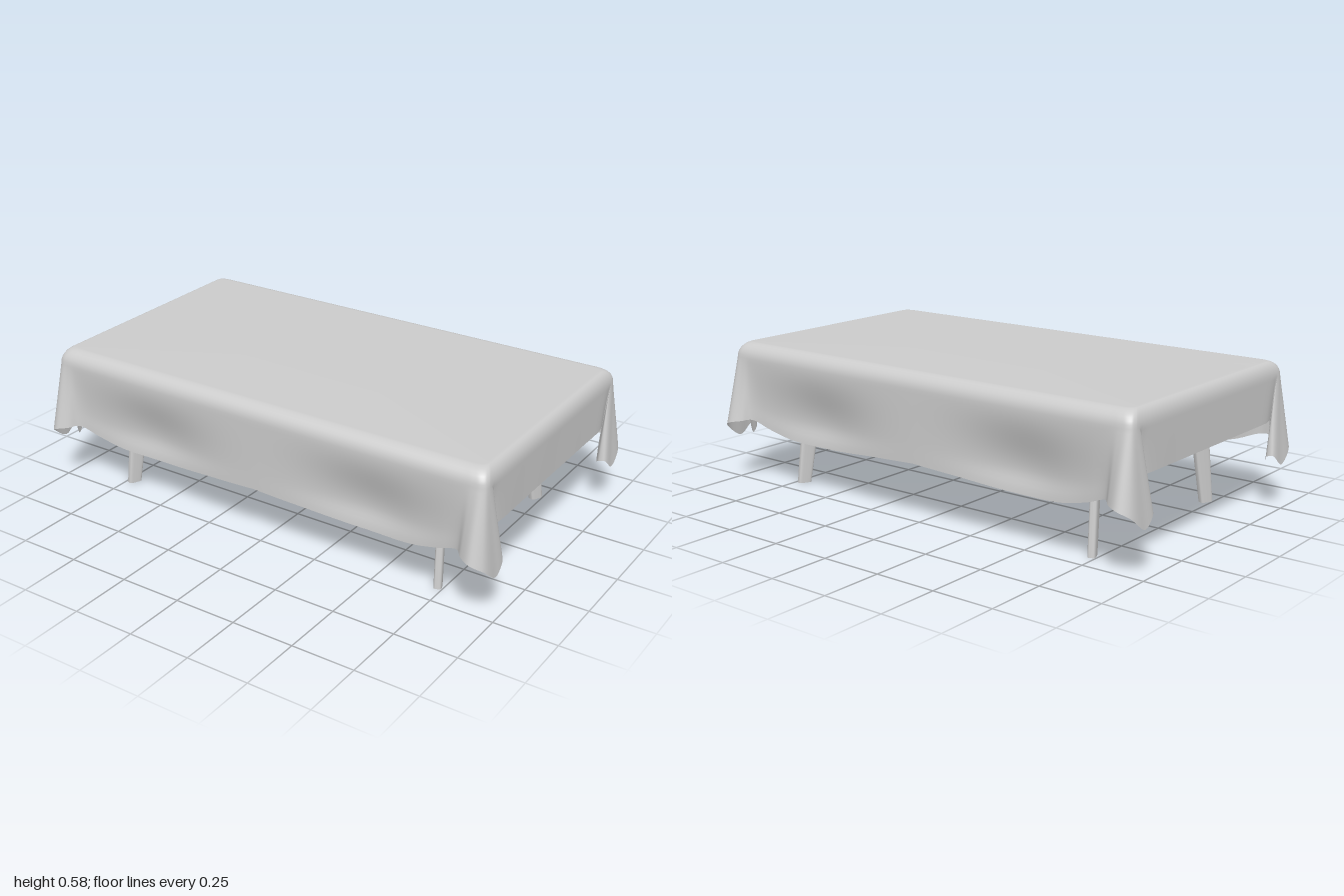
import * as THREE from 'three';

const material = new THREE.MeshStandardMaterial({ color: 0xcccccc, side: THREE.DoubleSide });
const { lerp, smoothstep } = THREE.MathUtils;
const curve = pts => new THREE.CatmullRomCurve3(pts.map(p => new THREE.Vector3(...p)));

// One quarter of the cloth, front centre round to side centre:
// the table edge it hangs from, and the hem with its folded corner ear.
const EDGE_Y = 0.525, TOP_Y = 0.585;
const edge = curve([
  [0, 0.537], [0.2, 0.537], [0.45, 0.537], [0.65, 0.537], [0.8, 0.537], [0.88, 0.537],
  [0.915, 0.537], [0.94, 0.534], [0.957, 0.524], [0.963, 0.51], [0.964, 0.5], [0.964, 0.492],
  [0.964, 0.484], [0.964, 0.475], [0.964, 0.465], [0.964, 0.43], [0.964, 0.25], [0.964, 0]
].map(([x, z]) => [x, EDGE_Y, z]));
const hem = curve([
  [0, 0.24, 0.535], [0.2, 0.228, 0.537], [0.45, 0.207, 0.542], [0.65, 0.212, 0.54], [0.78, 0.24, 0.535],
  [0.87, 0.272, 0.545], [0.9, 0.268, 0.575], [0.945, 0.26, 0.597], [0.988, 0.235, 0.57], [0.998, 0.18, 0.49],
  [0.99, 0.225, 0.433], [0.965, 0.22, 0.43], [0.94, 0.195, 0.475], [0.935, 0.27, 0.495], [0.95, 0.35, 0.47],
  [0.962, 0.354, 0.42], [0.963, 0.354, 0.25], [0.963, 0.354, 0]
]);

function quarterPoint(u, row, rounds, drops) {
  const p = edge.getPoint(u);
  if (row === 0) return new THREE.Vector3(0, TOP_Y, 0);
  if (row <= rounds) {
    // rounded shoulder between the flat top and the hanging cloth
    const a = (row - 1) / (rounds - 1) * Math.PI / 2, s = Math.sin(a);
    p.x *= 0.96 + 0.04 * s;
    p.z *= 0.89 + 0.11 * s;
    p.y = EDGE_Y + (TOP_Y - EDGE_Y) * Math.cos(a);
    return p;
  }
  const t = (row - rounds) / drops, h = hem.getPoint(u);
  // the inner flap of each ear fans out early, below its gathered neck
  const spread = t ** (1 - 0.35 * Math.exp(-(((u - 0.63) / 0.06) ** 2)));
  p.set(lerp(p.x, h.x, t), lerp(p.y, h.y, t), lerp(p.z, h.z, spread));
  // long sides sink inward in two broad hollows, easing out again at the hem
  if (u < 0.35) {
    const depth = 0.055 * smoothstep(t, 0, 0.75) - 0.015 * smoothstep(t, 0.75, 1);
    p.z -= depth * Math.exp(-(((p.x - 0.5) / 0.25) ** 2)) * (1 - smoothstep(u, 0.25, 0.35));
  }
  return p;
}

function clothGeometry() {
  const n = 108, rounds = 8, drops = 18, positions = [], index = [];
  const quarters = [[1, 1, false], [1, -1, true], [-1, -1, false], [-1, 1, true]];
  for (let row = 0; row <= rounds + drops; row++) {
    for (const [sx, sz, reverse] of quarters) {
      for (let i = 0; i < n; i++) {
        const p = quarterPoint((reverse ? n - i : i) / n, row, rounds, drops);
        positions.push(p.x * sx, p.y, p.z * sz);
      }
    }
  }
  const ring = 4 * n;
  for (let row = 0; row < rounds + drops; row++) {
    for (let i = 0; i < ring; i++) {
      const a = row * ring + i, b = row * ring + (i + 1) % ring;
      if (row > 0) index.push(a, a + ring, b);
      index.push(b, a + ring, b + ring);
    }
  }
  const g = new THREE.BufferGeometry();
  g.setAttribute('position', new THREE.Float32BufferAttribute(positions, 3));
  g.setIndex(index);
  g.computeVertexNormals();
  return g;
}

// Tapered, splayed blade leg: a thin soft section whose broad face follows its arm
function legGeometry(sx, sz) {
  const g = new THREE.CylinderGeometry(1, 1, 1, 24, 1), p = g.attributes.position;
  const soft = v => Math.sign(v) * Math.sqrt(Math.abs(v));
  const dx = 0.41 * sx, dz = 0.91 * sz;
  for (let i = 0; i < p.count; i++) {
    const t = p.getY(i) + 0.5;
    const thick = soft(p.getX(i)) * 0.016, broad = soft(p.getZ(i)) * lerp(0.027, 0.045, t);
    p.setXYZ(i,
      sx * lerp(0.724, 0.697, t) + broad * dx + thick * dz,
      t * 0.505,
      sz * lerp(0.398, 0.333, t) + broad * dz - thick * dx);
  }
  g.computeVertexNormals();
  return g;
}

export function createModel() {
  const model = new THREE.Group();
  const add = (name, geometry) => {
    const mesh = new THREE.Mesh(geometry, material);
    mesh.name = name;
    model.add(mesh);
    return mesh;
  };
  // Square bar between two points
  const bar = (name, from, to, width, height) => {
    const a = new THREE.Vector3(...from), b = new THREE.Vector3(...to);
    const mesh = add(name, new THREE.BoxGeometry(width, height, a.distanceTo(b)));
    mesh.position.copy(a).add(b).multiplyScalar(0.5);
    mesh.lookAt(b);
  };

  add('tablecloth', clothGeometry());
  add('tabletop', new THREE.BoxGeometry(1.84, 0.05, 0.98)).position.y = 0.535;

  // Underframe: centre beam, forked arms and four legs
  bar('centreBeam', [-0.55, 0.488, 0], [0.55, 0.488, 0], 0.038, 0.042);
  for (const sx of [-1, 1]) {
    for (const sz of [-1, 1]) {
      const side = (sz > 0 ? 'front' : 'back') + (sx > 0 ? 'Left' : 'Right');
      bar(side + 'Arm', [sx * 0.54, 0.488, 0], [sx * 0.7, 0.488, sz * 0.35], 0.032, 0.042);
      add(side + 'Leg', legGeometry(sx, sz));
    }
  }
  return model;
}
